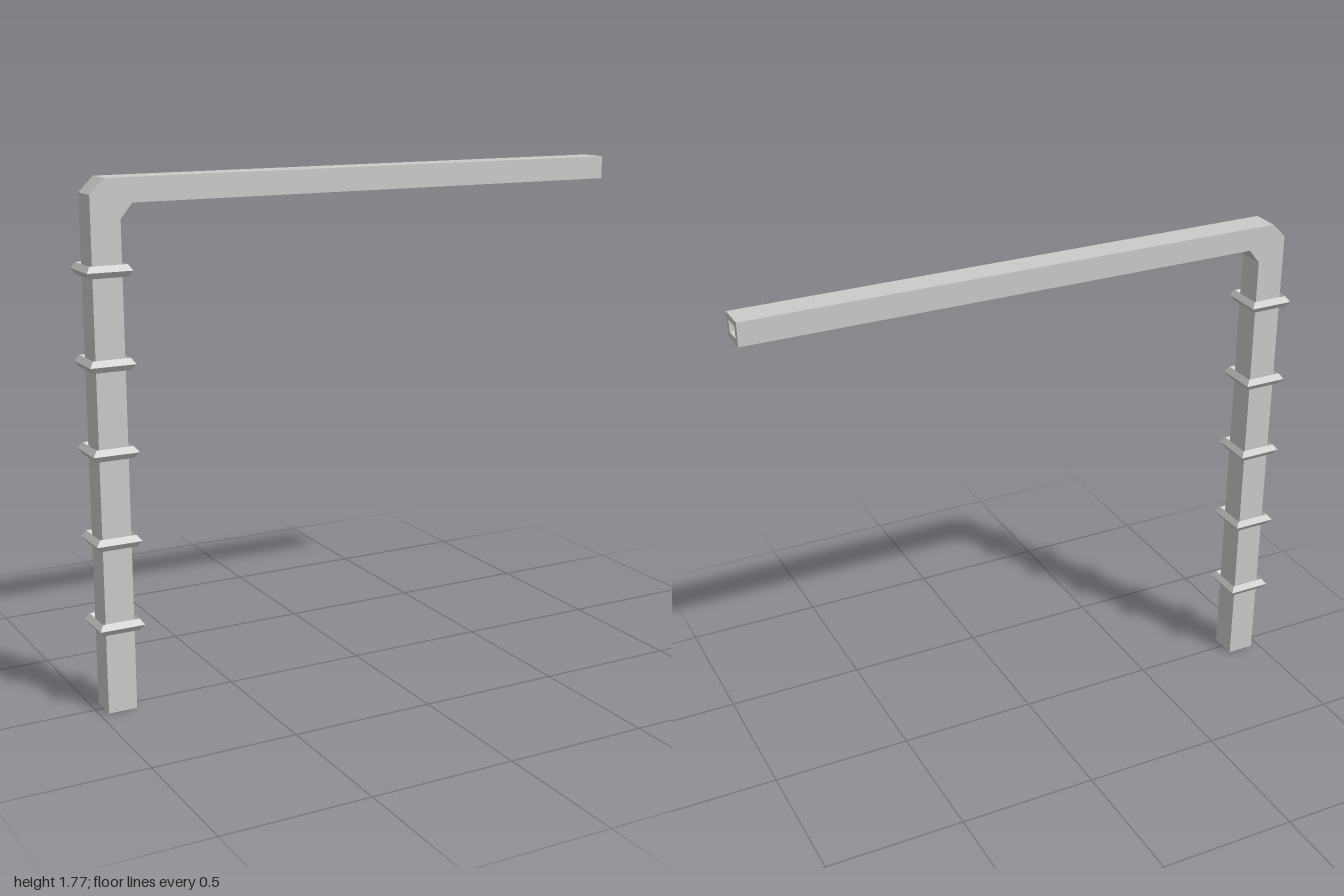
import * as THREE from 'three';

const material = new THREE.MeshStandardMaterial({ color: 0xcccccc, flatShading: true });

// Sweeps a rectangle through sections [outerX, outerY, innerX, innerY, halfDepth], closing both ends.
function sweep(sections) {
  const rings = sections.map(([ax, ay, bx, by, h]) => [[ax, ay, h], [bx, by, h], [bx, by, -h], [ax, ay, -h]]);
  const positions = [];
  const quad = (a, b, c, d) => positions.push(...a, ...b, ...c, ...a, ...c, ...d);
  for (let s = 0; s < rings.length - 1; s++) {
    for (let i = 0; i < 4; i++) {
      const j = (i + 1) % 4;
      quad(rings[s][i], rings[s][j], rings[s + 1][j], rings[s + 1][i]);
    }
  }
  const first = rings[0];
  quad(first[0], first[3], first[2], first[1]);
  quad(...rings[rings.length - 1]);
  const geometry = new THREE.BufferGeometry();
  geometry.setAttribute('position', new THREE.Float32BufferAttribute(positions, 3));
  geometry.computeVertexNormals();
  return geometry;
}

export function createModel() {
  const model = new THREE.Group();
  model.name = 'bentPole';

  // Square post, chamfered elbow and arm, with a recessed socket in each end
  const pole = new THREE.Mesh(sweep([
    [-0.95, 0.05, -0.89, 0.05, 0.03],
    [-0.95, 0, -0.89, 0, 0.03],
    [-0.97, 0, -0.87, 0, 0.05],
    [-0.97, 1.72, -0.87, 1.64, 0.05],
    [-0.92, 1.77, -0.83, 1.69, 0.05],
    [1, 1.77, 1, 1.69, 0.05],
    [1, 1.75, 1, 1.71, 0.03],
    [0.95, 1.75, 0.95, 1.71, 0.03],
  ]), material);
  pole.name = 'postAndArm';
  model.add(pole);

  // Square collars with a diamond section, evenly spaced up the post
  const collarGeometry = new THREE.TorusGeometry(0.09, 0.02, 4, 4).rotateZ(Math.PI / 4).rotateX(Math.PI / 2);
  [0.3, 0.59, 0.89, 1.18, 1.48].forEach((y, i) => {
    const collar = new THREE.Mesh(collarGeometry, material);
    collar.name = `collar${i + 1}`;
    collar.position.set(-0.92, y, 0);
    model.add(collar);
  });

  return model;
}
